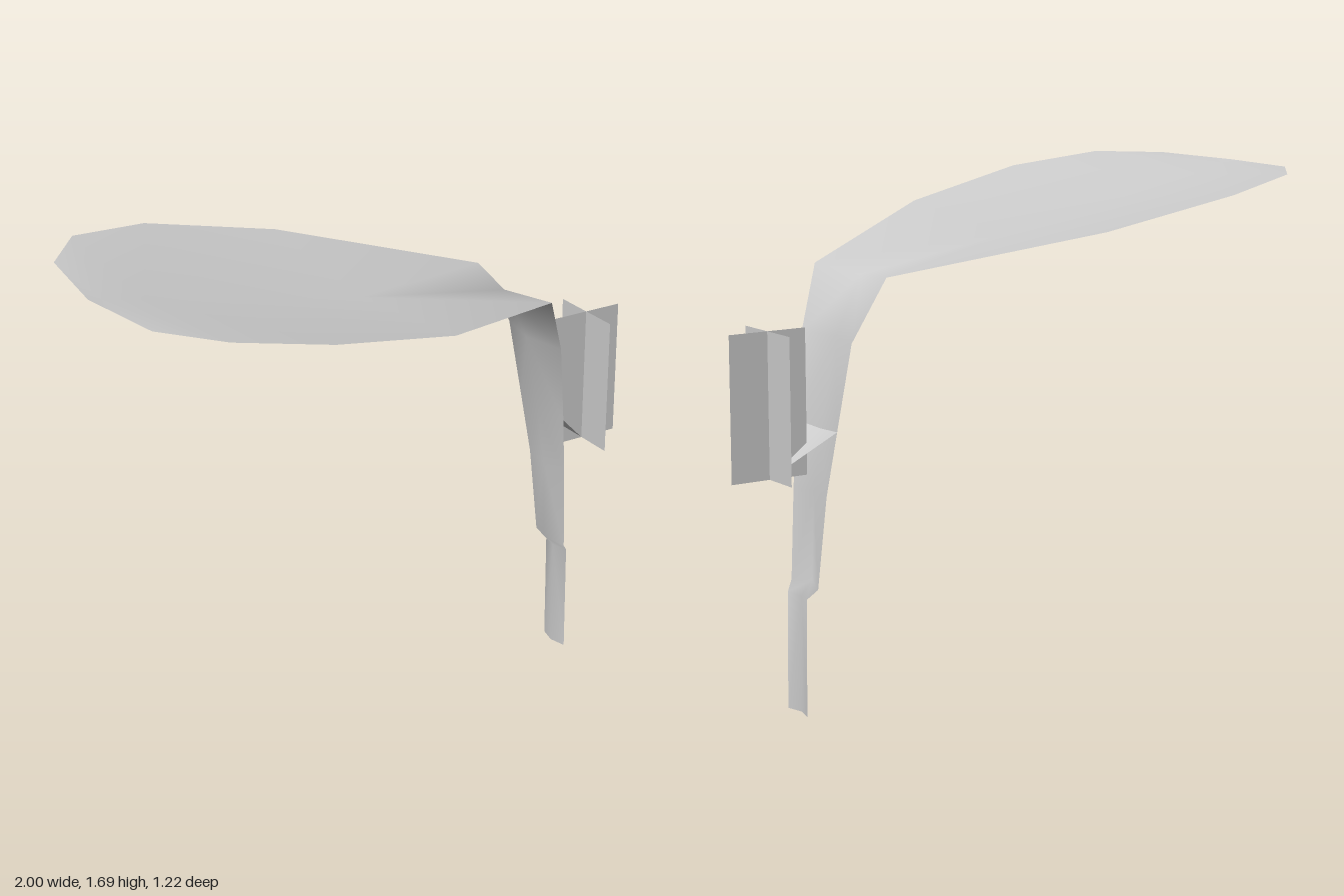
import * as THREE from 'three';

const grey = new THREE.MeshStandardMaterial({ color: 0xcccccc, side: THREE.DoubleSide });
grey.name = 'paleGrey';

function addPart(group, geometry, name) {
  const mesh = new THREE.Mesh(geometry, grey);
  mesh.name = name;
  group.add(mesh);
  return mesh;
}

function surface(positions, index) {
  const g = new THREE.BufferGeometry();
  g.setAttribute('position', new THREE.Float32BufferAttribute(positions, 3));
  g.setIndex(index);
  g.computeVertexNormals();
  return g;
}

// Cross-sections from foot to tip: midrib x, y, then edge x, y and half width
const sections = [
  [0.76, 0, 0.775, 0, 0.06],
  [0.755, 0.385, 0.77, 0.387, 0.06],
  [0.715, 0.43, 0.742, 0.42, 0.083],
  [0.704, 0.72, 0.718, 0.72, 0.102],
  [0.675, 0.92, 0.69, 0.93, 0.125],
  [0.615, 1.21, 0.65, 1.21, 0.152],
  [0.52, 1.4, 0.56, 1.417, 0.215],
  [-0.04, 1.49, -0.04, 1.55, 0.55],
  [-0.53, 1.58, -0.5, 1.642, 0.608],
  [-0.81, 1.642, -0.8, 1.684, 0.52],
  [-0.955, 1.675, -0.955, 1.686, 0.33],
];

// Bent, trough-shaped leaf with its narrow stalk
function leafGeometry() {
  const pos = [], idx = [];
  for (const [mx, my, ex, ey, w] of sections) pos.push(ex, ey, w, mx, my, 0, ex, ey, -w);
  for (let i = 0; i < sections.length - 1; i++) {
    const a = 3 * i;
    idx.push(a, a + 1, a + 4, a, a + 4, a + 3); // +z half
    idx.push(a + 1, a + 2, a + 4, a + 2, a + 5, a + 4); // mirrored half
  }
  const last = 3 * (sections.length - 1), tip = last + 3;
  pos.push(-1, 1.683, 0);
  idx.push(last, last + 1, tip, last + 1, last + 2, tip);
  return surface(pos, idx);
}

export function createModel() {
  const model = new THREE.Group();
  model.name = 'bentLeaf';

  addPart(model, leafGeometry(), 'leaf');

  // Small pointed bract linking the leaf to the crossed panels
  addPart(model, surface(
    [0.69, 0.93, 0.125, 0.675, 0.92, 0, 0.69, 0.93, -0.125, 0.86, 0.78, 0],
    [0, 3, 1, 1, 3, 2],
  ), 'bract');

  // Two upright panels crossing at right angles
  const panels = new THREE.Group();
  panels.name = 'crossedPanels';
  panels.position.set(0.863, 1.013, 0);
  for (const [name, turn] of [['lengthwisePanel', 0], ['crosswisePanel', Math.PI / 2]]) {
    addPart(panels, new THREE.PlaneGeometry(0.272, 0.472), name).rotation.y = turn;
  }
  model.add(panels);

  return model;
}
